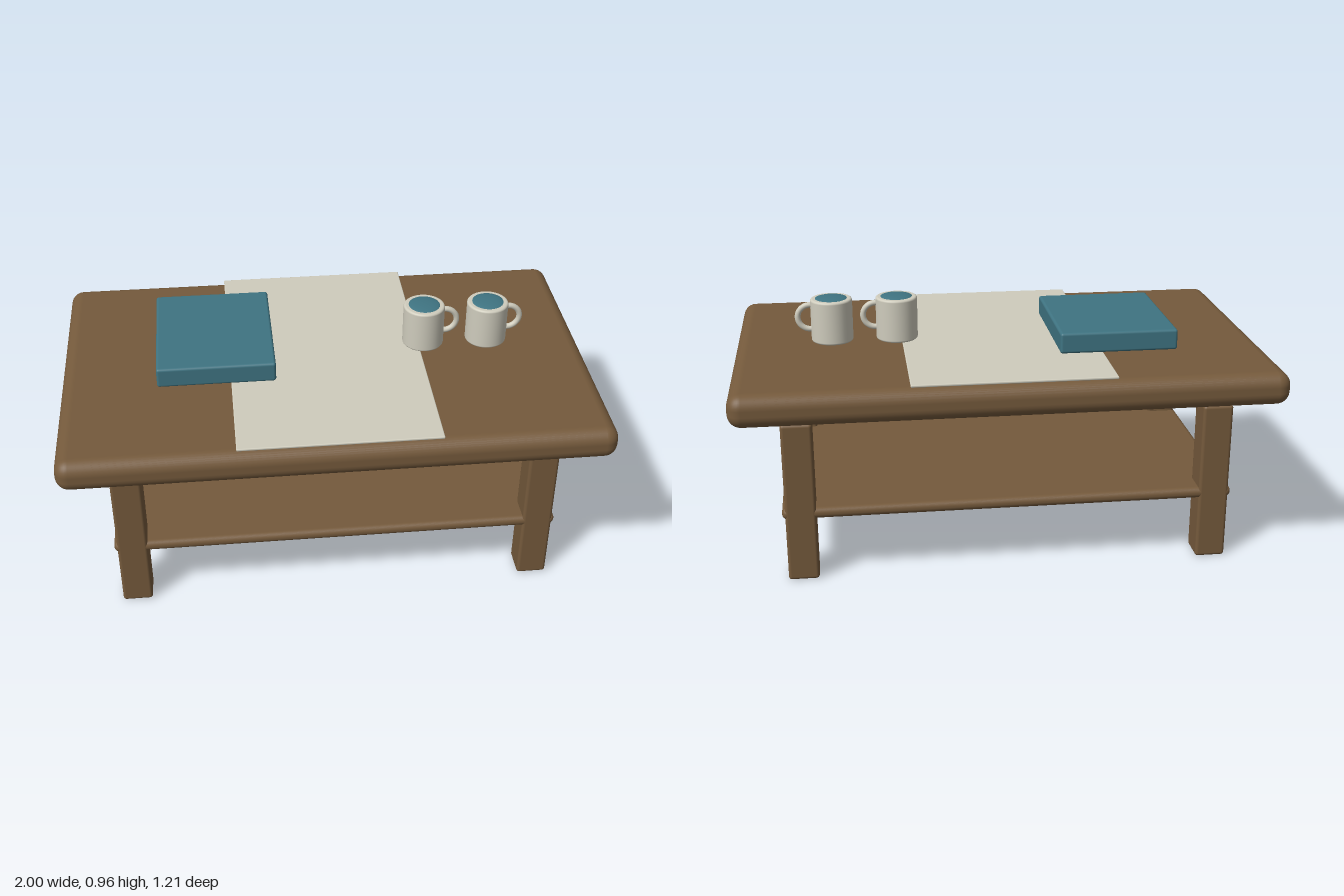
import * as THREE from 'three';
import { RoundedBoxGeometry } from 'three/addons/geometries/RoundedBoxGeometry.js';

const mat = (name, color) => {
  const m = new THREE.MeshStandardMaterial({ color });
  m.name = name;
  return m;
};

export function createModel() {
  const wood = mat('brown wood', 0x755a3c);
  const cream = mat('cream', 0xcfccbd);
  const teal = mat('teal', 0x3f7482);

  const table = new THREE.Group();
  table.name = 'coffeeTable';

  const add = (parent, name, geometry, material, x = 0, y = 0, z = 0) => {
    const mesh = new THREE.Mesh(geometry, material);
    mesh.name = name;
    mesh.position.set(x, y, z);
    parent.add(mesh);
    return mesh;
  };
  const box = (name, w, h, d, r, material, x, y, z) =>
    add(table, name, new RoundedBoxGeometry(w, h, d, 4, r), material, x, y, z);

  // Thick rounded top and thin lower shelf
  box('tableTop', 2, 0.122, 1.206, 0.05, wood, 0, 0.712, 0);
  box('shelf', 1.68, 0.042, 0.936, 0.02, wood, 0, 0.264, 0);

  // Four square legs
  for (const sx of [-1, 1])
    for (const sz of [-1, 1])
      box('leg', 0.113, 0.615, 0.113, 0.012, wood, sx * 0.772, 0.3075, sz * 0.412);

  // Cloth runner and book
  box('runner', 0.734, 0.01, 1.158, 0.004, cream, 0, 0.782, -0.002);
  box('book', 0.44, 0.078, 0.522, 0.01, teal, -0.42, 0.834, -0.072);

  // Mug profile with softened bottom and rim
  const R = 0.079, H = 0.165, b = 0.008;
  const profile = [new THREE.Vector2(0, 0), new THREE.Vector2(R - b - 0.001, 0)];
  for (let i = 0; i <= 4; i++) {
    const a = (i / 4) * Math.PI / 2;
    profile.push(new THREE.Vector2(R - b + b * Math.sin(a), b - b * Math.cos(a)));
  }
  for (let i = 0; i <= 4; i++) {
    const a = (i / 4) * Math.PI / 2;
    profile.push(new THREE.Vector2(R - b + b * Math.cos(a), H - b + b * Math.sin(a)));
  }
  profile.push(new THREE.Vector2(R - b - 0.001, H), new THREE.Vector2(0, H));
  const bodyGeo = new THREE.LatheGeometry(profile, 40);
  const handleGeo = new THREE.TorusGeometry(0.047, 0.011, 12, 24, Math.PI * 1.1);
  handleGeo.rotateZ(-Math.PI * 0.55);
  const drinkGeo = new THREE.SphereGeometry(0.063, 32, 16).scale(1, 0.16, 1);

  // Two mugs with handles on the same side
  for (const x of [0.384, 0.63]) {
    const mug = new THREE.Group();
    mug.name = 'mug';
    mug.position.set(x, 0.79, -0.035);
    add(mug, 'mugBody', bodyGeo, cream);
    add(mug, 'mugHandle', handleGeo, cream, 0.081, 0.094, 0);
    add(mug, 'drink', drinkGeo, teal, 0, 0.162, 0);
    table.add(mug);
  }
  return table;
}
